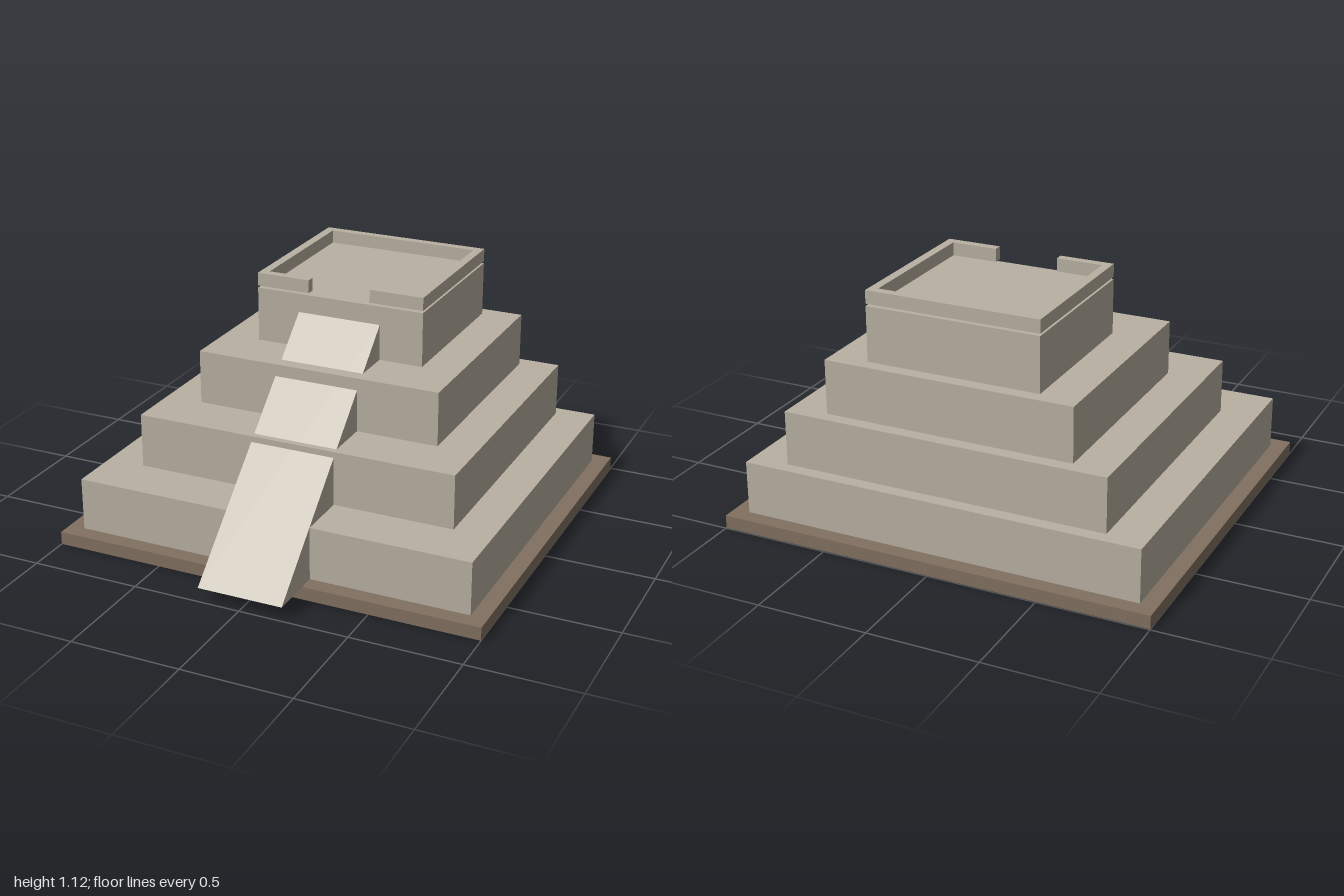
import * as THREE from 'three';

export function createModel() {
  const model = new THREE.Group();
  model.name = 'steppedPyramid';
  const stone = new THREE.MeshStandardMaterial({ name: 'pale stone', color: 0xb8b0a2 });
  const earth = new THREE.MeshStandardMaterial({ name: 'brown earth', color: 0x817160 });

  function add(name, geometry, material) {
    const mesh = new THREE.Mesh(geometry, material);
    mesh.name = name;
    model.add(mesh);
    return mesh;
  }

  // Box given by half width, height range and depth range
  function slab(name, halfX, y0, y1, z0, z1, material) {
    const geometry = new THREE.BoxGeometry(2 * halfX, y1 - y0, z1 - z0);
    add(name, geometry, material).position.set(0, (y0 + y1) / 2, (z0 + z1) / 2);
  }

  // Ground plinth
  slab('plinth', 1, 0, 0.06, -0.995, 0.8, earth);

  // Four tiers, stepping in further at the front than at the back
  const levels = [0.06, 0.303, 0.552, 0.8, 1.05];
  for (let i = 0; i < 4; i++) {
    slab(`tier${i + 1}`, 0.925 - 0.175 * i, levels[i], levels[i + 1],
      -0.923 + 0.06 * i, 0.725 - 0.24 * i, stone);
  }

  // Sloping stairway: a wedge running up through the tiers
  const slope = new THREE.Shape();
  slope.moveTo(-0.992, 0.06);
  slope.lineTo(-0.004, 0.06);
  slope.lineTo(-0.004, 0.965);
  slope.closePath();
  const width = 0.394;
  const ramp = new THREE.ExtrudeGeometry(slope, { depth: width, bevelEnabled: false });
  ramp.rotateY(Math.PI / 2).translate(-width / 2, 0, 0);
  add('stairRamp', ramp, stone);

  // Parapet with a front entrance gap, slightly above the top terrace
  const half = 0.4, wall = 0.04, gap = 0.148, front = 0.005, back = -0.743;
  const outline = [
    [gap, front], [half, front], [half, back], [-half, back], [-half, front], [-gap, front],
    [-gap, front - wall], [-half + wall, front - wall], [-half + wall, back + wall],
    [half - wall, back + wall], [half - wall, front - wall], [gap, front - wall],
  ];
  const plan = new THREE.Shape(outline.map(([x, z]) => new THREE.Vector2(x, -z)));
  const parapet = new THREE.ExtrudeGeometry(plan, { depth: 0.06, bevelEnabled: false });
  parapet.rotateX(-Math.PI / 2).translate(0, 1.06, 0);
  add('parapet', parapet, stone);

  return model;
}
